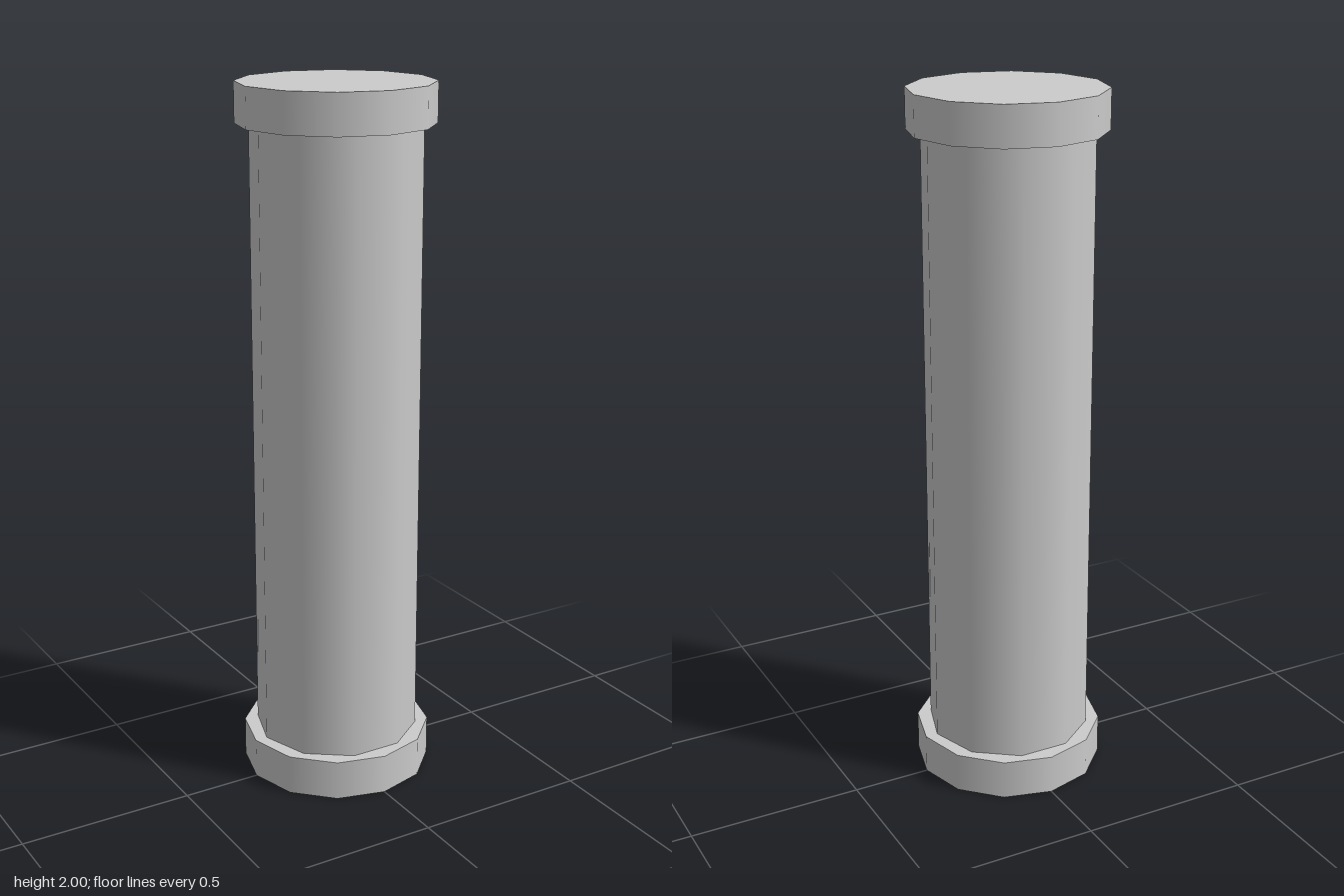
import * as THREE from 'three';

export function createModel() {
  const group = new THREE.Group();
  const material = new THREE.MeshStandardMaterial({ color: 0xcccccc });

  // Upright prism spanning y0..y1 with corners on the x axis
  const addPrism = (name, radius, sides, y0, y1, openEnded = false) => {
    const geometry = new THREE.CylinderGeometry(
      radius, radius, y1 - y0, sides, 1, openEnded, Math.PI / 2);
    const mesh = new THREE.Mesh(geometry, material);
    mesh.name = name;
    mesh.position.y = (y0 + y1) / 2;
    group.add(mesh);
  };

  // Ten-sided column between two wider twelve-sided end caps
  addPrism('shaft', 0.237, 10, 0.115, 1.888, true);
  addPrism('baseCap', 0.273, 12, 0, 0.115);
  addPrism('topCap', 0.273, 12, 1.888, 2);

  return group;
}
